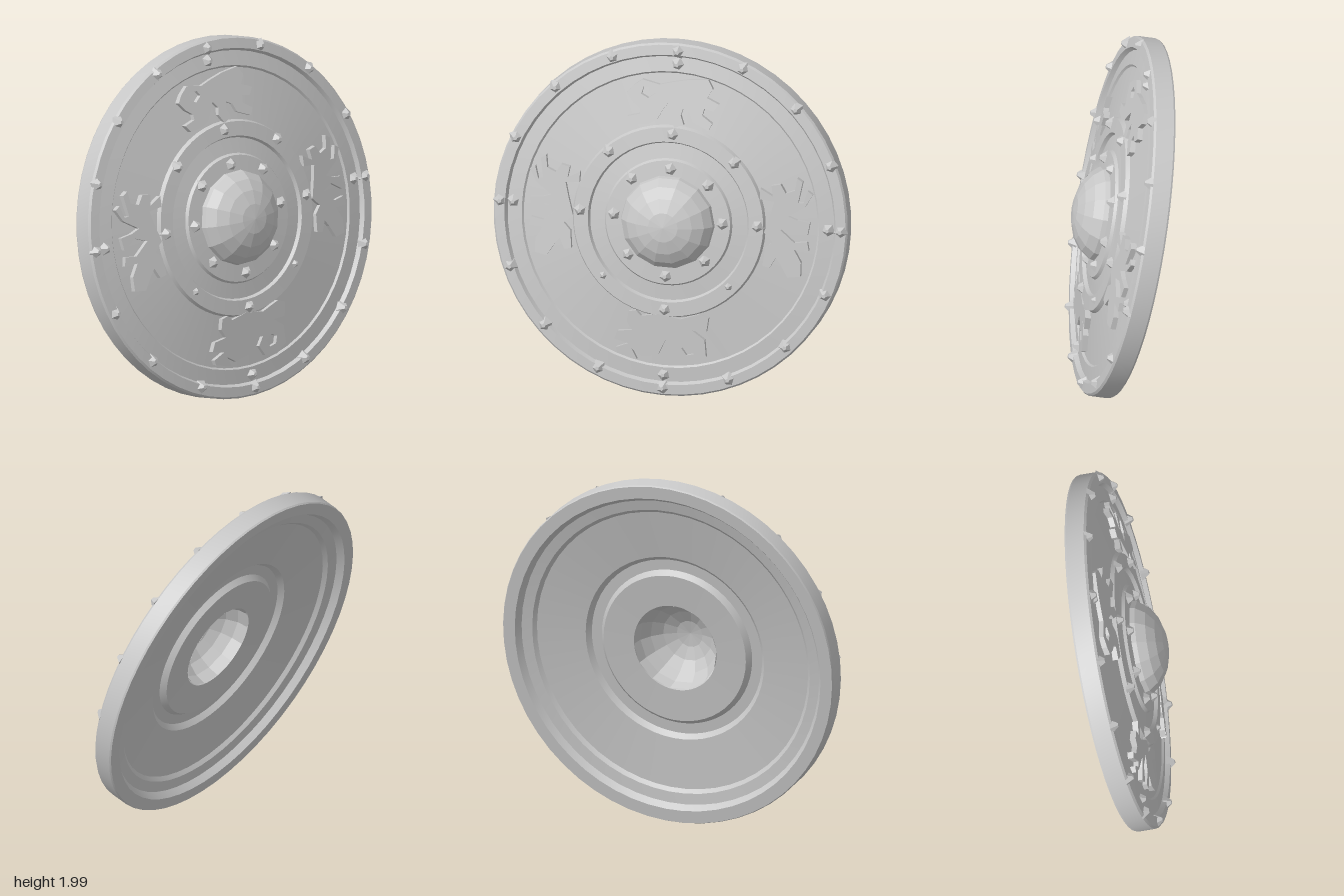
import * as THREE from 'three';
import { toCreasedNormals } from 'three/addons/utils/BufferGeometryUtils.js';

const TILT = 0.22; // the shield leans back

// Height of the sloping field between the outer and middle bands
const fieldHeight = r => 0.045 + (0.83 - r) * 0.145;

// Relief outlines as x, y pairs in hundredths of a unit
const CURLED_BEAST = [
  -24, 75, -19, 79, -14, 78, -9, 77, -2, 79, 7, 81, 18, 82, 21, 77, 18, 72, 25, 69, 22, 65,
  17, 66, 16, 62, 22, 58, 20, 54, 11, 58, 9, 63, 5, 65, 4, 61, 6, 56, 1, 54, -2, 59, -1, 63,
  -4, 67, -7, 62, -9, 58, -14, 55, -23, 54, -26, 58, -19, 60, -19, 63, -23, 66, -27, 71];
const CURL_HOLE = [-19, 71, -15, 69, -11, 72, -13, 75, -18, 75];
const COILED_BEAST = [
  -20, -53, -16, -52, -13, -55, -3, -53, 9, -55, 20, -51, 25, -53, 24, -61, 16, -61, 23, -66,
  24, -76, 17, -81, 9, -80, 5, -74, 8, -69, 1, -68, -3, -77, -12, -79, -18, -75, -15, -81,
  -26, -78, -27, -75, -20, -72, -28, -70, -26, -65, -18, -64, -21, -59];
const COIL_HOLE = [10, -72, 14, -69, 18, -71, 17, -75, 13, -76];
const LEAPING_BEAST = [
  -71, 31, -70, 24, -65, 22, -62, 27, -57, 26, -58, 20, -51, 24, -51, 18, -59, 17, -57, 9,
  -54, -1, -59, -6, -55, -10, -54, -20, -58, -21, -61, -15, -64, -19, -68, -26, -75, -25,
  -75, -17, -71, -10, -79, -10, -78, -5, -71, -6, -63, 1, -70, 4, -78, -1, -79, 6, -72, 7,
  -67, 9, -76, 15, -80, 22, -77, 24, -75, 17, -72, 17, -74, 29];

function toPoints(list, mirror) {
  const points = [];
  for (let i = 0; i < list.length; i += 2) {
    points.push(new THREE.Vector2(mirror * list[i] / 100, list[i + 1] / 100));
  }
  return points;
}

// Extruded outline, sloped along the given axis ('x' or 'y') to lie on the field
function reliefGeometry(axis, outline, hole, mirror = 1) {
  const shape = new THREE.Shape(toPoints(outline, mirror));
  if (hole) shape.holes.push(new THREE.Path(toPoints(hole, mirror)));
  const geometry = new THREE.ExtrudeGeometry(shape, { depth: 0.045, bevelEnabled: false });
  const p = geometry.attributes.position;
  for (let i = 0; i < p.count; i++) {
    const out = Math.abs(axis === 'x' ? p.getX(i) : p.getY(i));
    p.setZ(i, p.getZ(i) - 0.02 + fieldHeight(out));
  }
  geometry.computeVertexNormals();
  return geometry;
}

// Half dome opening toward the back
function dome(radius, depth, base) {
  const geometry = new THREE.SphereGeometry(1, 14, 5, 0, Math.PI * 2, 0, Math.PI / 2);
  geometry.rotateX(Math.PI / 2);
  geometry.scale(radius, radius, depth);
  geometry.translate(0, 0.005, base);
  return geometry;
}

export function createModel() {
  const model = new THREE.Group();
  model.name = 'roundShield';
  const metal = new THREE.MeshStandardMaterial({ color: 0xc8c8c8 });
  metal.name = 'greyMetal';
  const faceted = metal.clone();
  faceted.name = 'greyMetal';
  faceted.flatShading = true;
  faceted.side = THREE.DoubleSide;

  const shield = new THREE.Group();
  shield.name = 'shield';
  shield.position.set(0, 1, -0.005);
  shield.rotation.x = -TILT;
  model.add(shield);

  const add = (name, geometry, material = metal) => {
    const mesh = new THREE.Mesh(geometry, material);
    mesh.name = name;
    shield.add(mesh);
    return mesh;
  };

  // Body: flat hollow back with a groove, thick rim, stepped bands across the front
  const profile = [
    [0.25, 0.1], [0.25, 0.042], [0.43, 0.036], [0.455, 0.066], [0.515, 0.066], [0.54, 0.038],
    [0.82, 0.005], [0.84, -0.015], [0.9, -0.025], [0.925, -0.062], [0.995, -0.062], [1, -0.052],
    [1, 0.048], [0.99, 0.06], [0.935, 0.067], [0.922, 0.042], [0.84, 0.056], [0.83, 0.045],
    [0.545, 0.086], [0.535, 0.109], [0.455, 0.115], [0.445, 0.095], [0.36, 0.106],
    [0.35, 0.123], [0.25, 0.13], [0.25, 0.1]
  ].map(([r, w]) => new THREE.Vector2(r, w));
  const body = new THREE.LatheGeometry(profile, 56);
  body.rotateX(Math.PI / 2);
  body.scale(1, 1.008, 1); // very slightly taller than wide
  add('shieldBody', toCreasedNormals(body, 0.4));

  // Central boss and the hollow behind it
  add('boss', dome(0.272, 0.18, 0.1), faceted);
  add('bossHollow', dome(0.252, 0.21, 0.042), faceted);

  // Rings of blunt studs: count, radius, height on the shield, size
  const stud = new THREE.CylinderGeometry(0.012, 0.044, 0.042, 5, 1);
  stud.rotateX(Math.PI / 2);
  const rings = [
    ['rimStud', 16, 0.962, 0.07, 1],
    ['outerBandStud', 4, 0.888, 0.06, 0.95],
    ['middleBandStud', 8, 0.5, 0.12, 1],
    ['innerBandStud', 8, 0.305, 0.136, 1]
  ];
  for (const [name, count, radius, height, size] of rings) {
    for (let i = 0; i < count; i++) {
      const a = (i / count) * Math.PI * 2;
      const mesh = add(name, stud, faceted);
      // Studs toward the sides sit a little high
      const lift = 0.022 * Math.abs(Math.cos(a));
      mesh.position.set(Math.cos(a) * radius, Math.sin(a) * radius + lift, height);
      mesh.rotation.z = a + i * 1.3;
      // The two lower diagonal studs of the middle band are worn down
      const worn = name === 'middleBandStud' && (i === 5 || i === 7);
      mesh.scale.setScalar(worn ? 0.6 : size);
    }
  }

  // Animal reliefs: curled ones above and below, a leaping pair at the sides
  add('topRelief', reliefGeometry('y', CURLED_BEAST, CURL_HOLE), faceted);
  add('bottomRelief', reliefGeometry('y', COILED_BEAST, COIL_HOLE), faceted);
  add('rightRelief', reliefGeometry('x', LEAPING_BEAST, null), faceted);
  add('leftRelief', reliefGeometry('x', LEAPING_BEAST, null, -1), faceted);

  return model;
}
